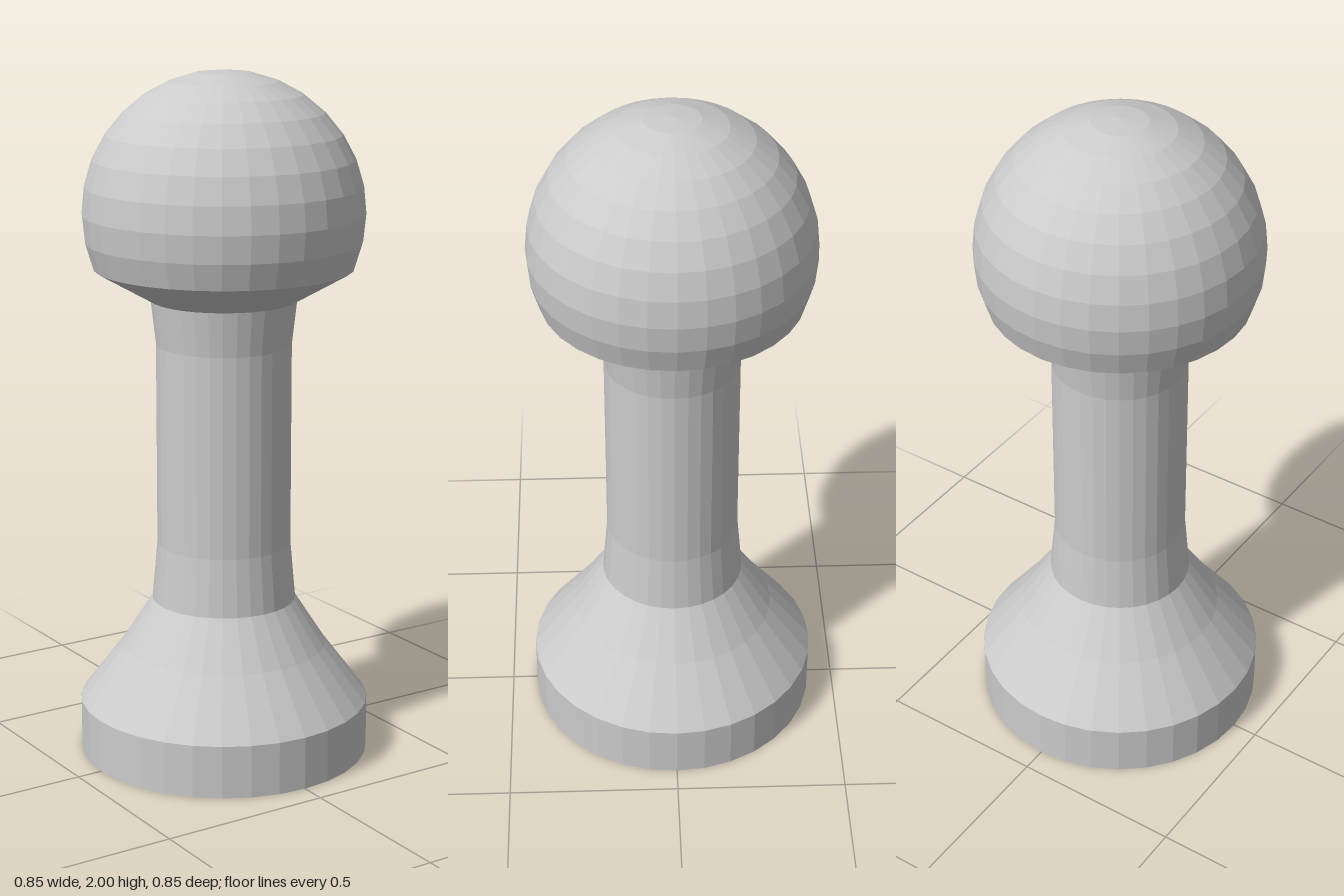
import * as THREE from 'three';

const SIDES = 32;

// Turned part from a [radius, height] profile, listed bottom to top
function turned(name, profile, material) {
  const points = profile.map(([r, y]) => new THREE.Vector2(r, y));
  const mesh = new THREE.Mesh(new THREE.LatheGeometry(points, SIDES), material);
  mesh.name = name;
  return mesh;
}

export function createModel() {
  const material = new THREE.MeshStandardMaterial({ color: 0xcccccc, flatShading: true });
  const group = new THREE.Group();
  group.name = 'pawn';

  // Base: closed foot with a straight rim
  group.add(turned('base', [[0, 0], [0.425, 0], [0.425, 0.155]], material));

  // Stem: flared skirt, straight shaft, slight flare under the head
  group.add(turned('stem', [
    [0.425, 0.155], [0.3, 0.32], [0.21, 0.46], [0.195, 0.63],
    [0.195, 1.22], [0.21, 1.35],
  ], material));

  // Head: sloped underside, then a ball with rings every 11.25 degrees
  const radius = 0.403;
  const profile = [[0.21, 1.35]];
  for (let i = 10; i >= 0; i--) {
    const a = (i * Math.PI) / 16;
    profile.push([radius * Math.sin(a), 2 - radius + radius * Math.cos(a)]);
  }
  group.add(turned('head', profile, material));

  return group;
}
